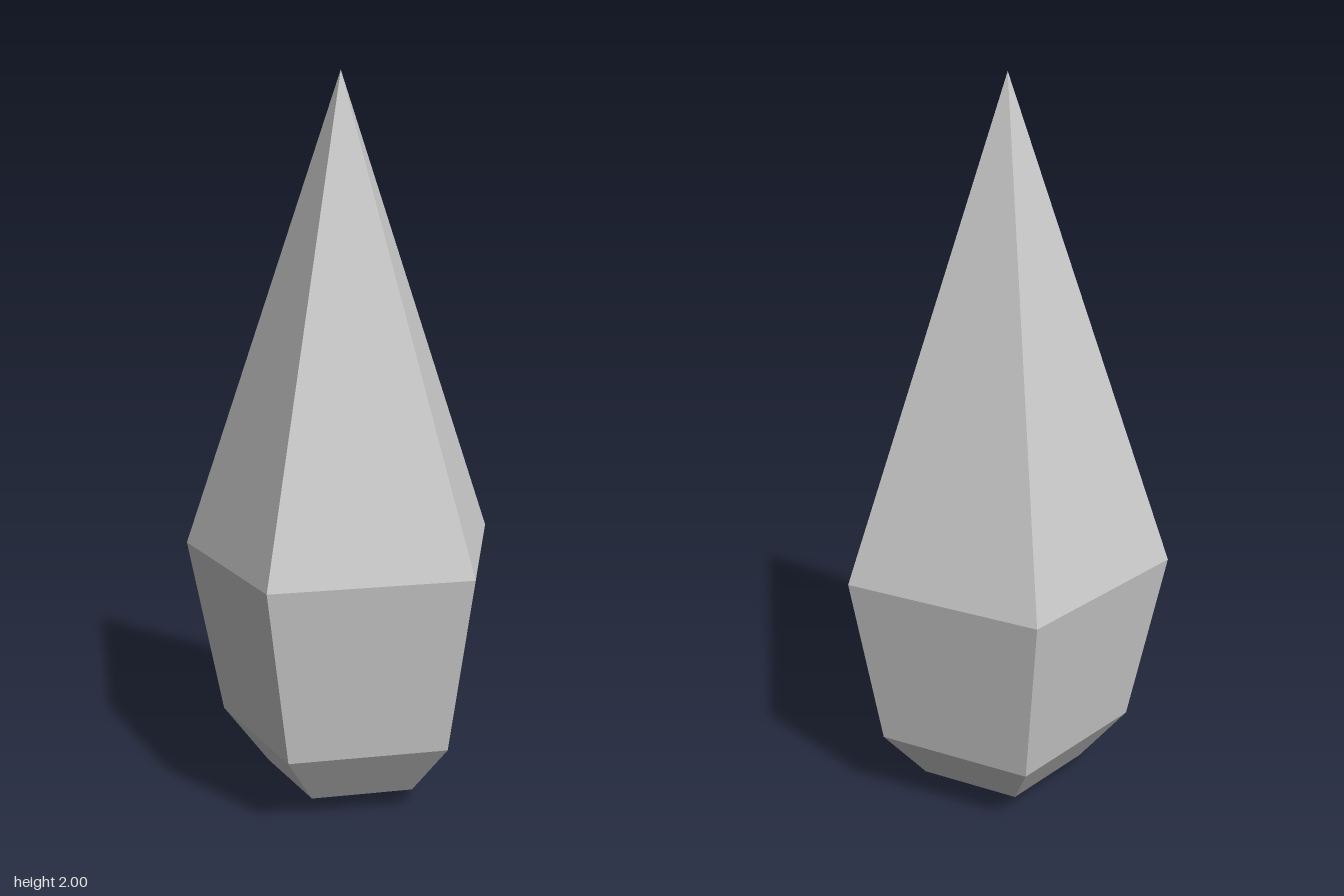
import * as THREE from 'three';

export function createModel() {
  const group = new THREE.Group();
  // Five-sided pointed crystal: radius and height from the base to the tip
  const profile = [
    [0, 0], [0.09, 0], [0.239, 0.055], [0.368, 0.212], [0.46, 0.71], [0, 2],
  ].map(([r, y]) => new THREE.Vector2(r, y));

  const crystal = new THREE.Mesh(
    new THREE.LatheGeometry(profile, 5),
    new THREE.MeshStandardMaterial({ color: 0xcccccc, flatShading: true }),
  );
  crystal.name = 'crystal';
  // Slight lean of the axis
  crystal.rotation.set(0.004, 0, 0.0135);
  crystal.position.set(0.0075, 0.001, -0.044);
  group.add(crystal);
  return group;
}
